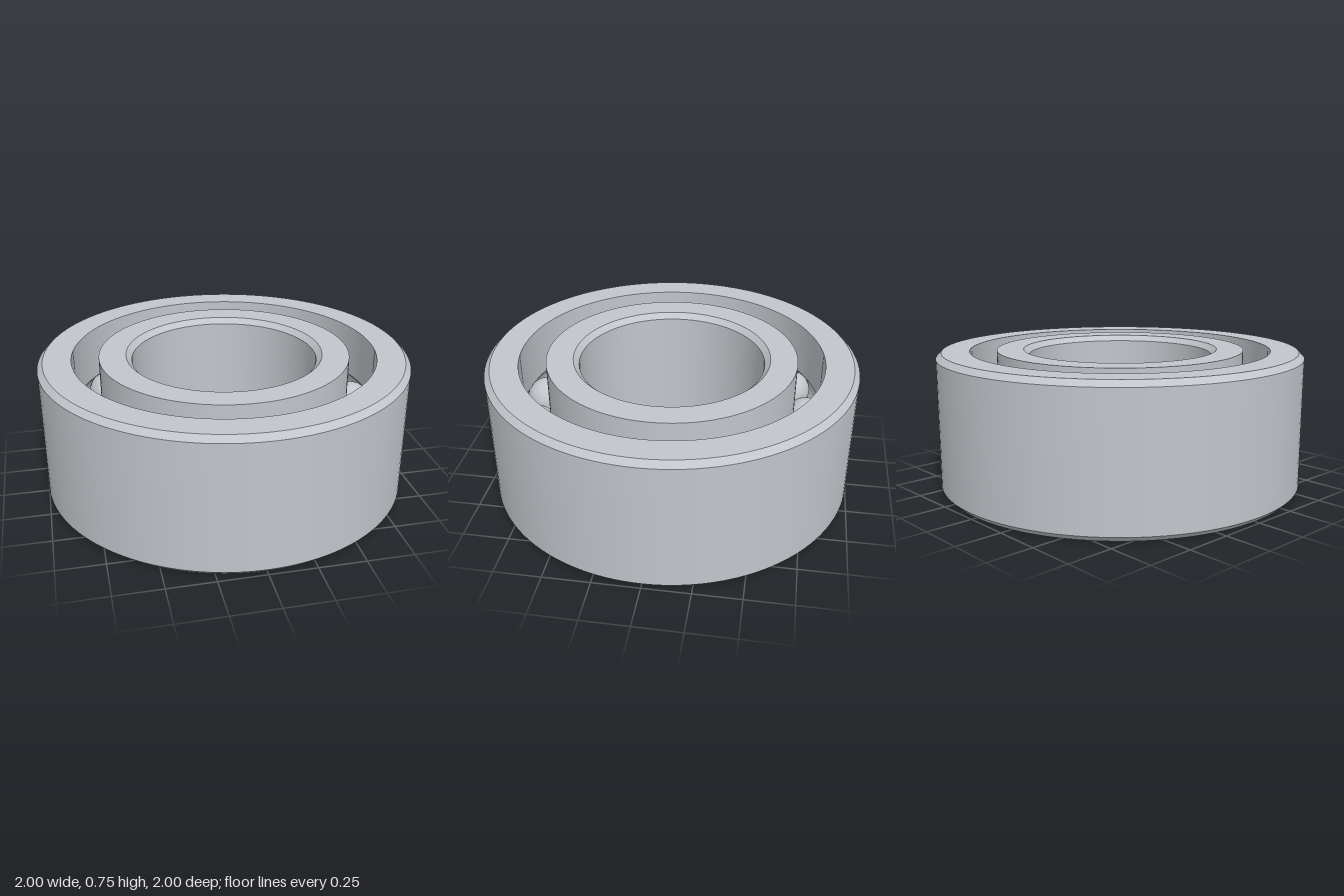
import * as THREE from 'three';
import { toCreasedNormals } from 'three/addons/utils/BufferGeometryUtils.js';

const HEIGHT = 0.755, MID = HEIGHT / 2;
const CHAMFER = 0.03;
const PITCH = 0.747;          // radius of the circle of ball centres
const BALL = 0.113, GROOVE = 0.114;
const BALL_COUNT = 15;

// Arc of a ball groove cut into a wall; side is +1 for the outer ring, -1 for the inner
function groove(wallRadius, side) {
  const limit = Math.acos(Math.abs(wallRadius - PITCH) / GROOVE);
  const points = [];
  for (let i = 0; i <= 12; i++) {
    const t = side * limit * (1 - i / 6);
    points.push([PITCH + side * GROOVE * Math.cos(t), MID + GROOVE * Math.sin(t)]);
  }
  return points;
}

// Ring turned from a closed profile, with crisp edges
function turnedRing(profile, name, material) {
  const points = [...profile, profile[0]].map(([r, y]) => new THREE.Vector2(r, y));
  const geometry = toCreasedNormals(new THREE.LatheGeometry(points, 120), Math.PI / 6);
  const mesh = new THREE.Mesh(geometry, material);
  mesh.name = name;
  return mesh;
}

export function createModel() {
  const steel = new THREE.MeshStandardMaterial({ color: 0xc2c5cb });
  steel.name = 'steel';
  const model = new THREE.Group();
  model.name = 'ballBearing';

  // Outer ring: chamfered outside, grooved inside
  model.add(turnedRing([
    [1 - CHAMFER, 0], [1, CHAMFER], [1, HEIGHT - CHAMFER], [1 - CHAMFER, HEIGHT],
    [0.82, HEIGHT], ...groove(0.82, 1), [0.82, 0],
  ], 'outerRing', steel));

  // Inner ring: grooved outside, chamfered bore
  model.add(turnedRing([
    [0.675, 0], ...groove(0.675, -1), [0.675, HEIGHT],
    [0.5 + CHAMFER, HEIGHT], [0.5, HEIGHT - CHAMFER], [0.5, CHAMFER], [0.5 + CHAMFER, 0],
  ], 'innerRing', steel));

  // Balls spaced evenly between the rings
  const balls = new THREE.Group();
  balls.name = 'balls';
  const ballGeometry = new THREE.SphereGeometry(BALL, 32, 20);
  for (let i = 0; i < BALL_COUNT; i++) {
    const angle = (i / BALL_COUNT) * Math.PI * 2;
    const ball = new THREE.Mesh(ballGeometry, steel);
    ball.name = 'ball' + (i + 1);
    ball.position.set(PITCH * Math.cos(angle), MID, PITCH * Math.sin(angle));
    balls.add(ball);
  }
  model.add(balls);
  return model;
}
